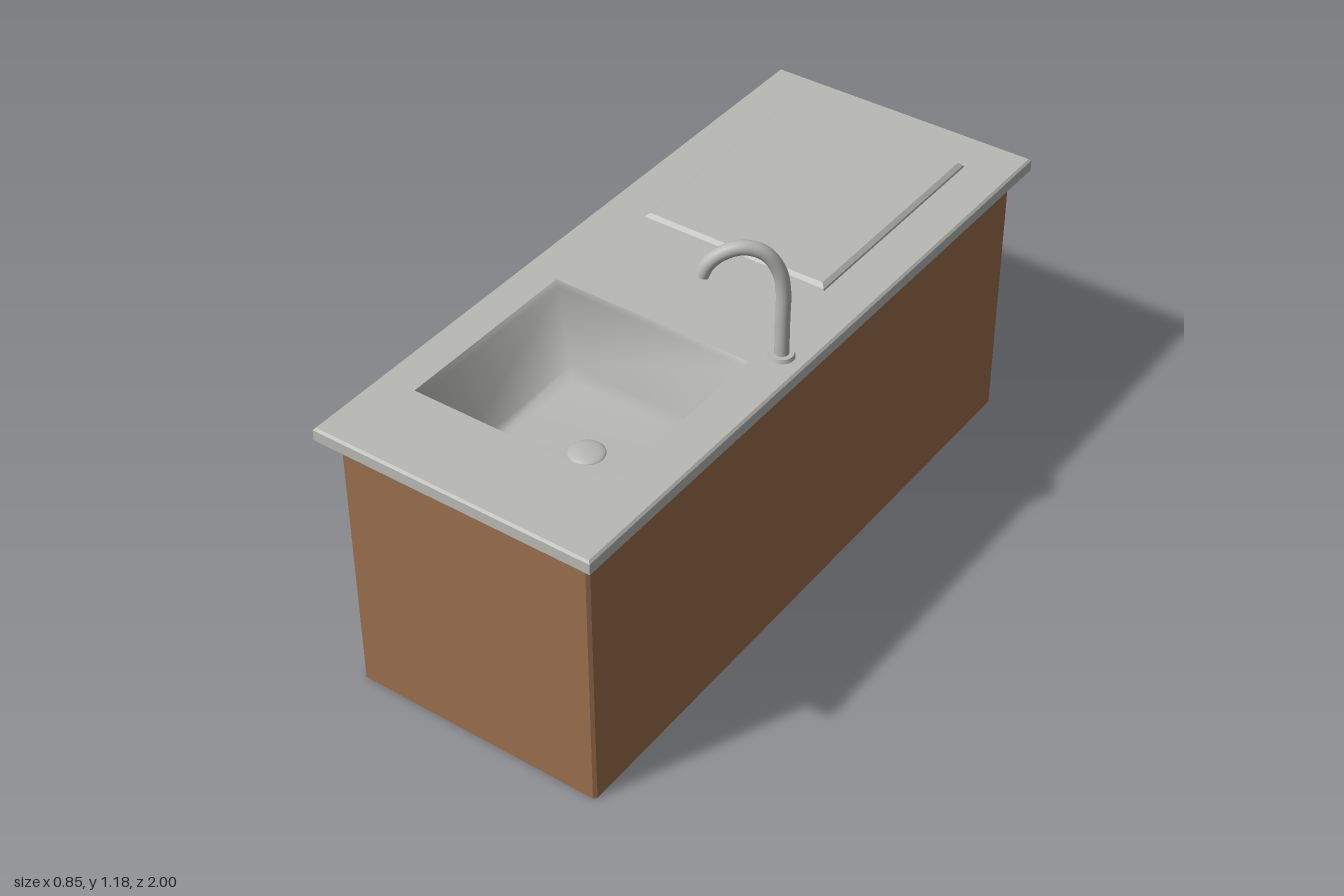
import * as THREE from 'three';

const wood = new THREE.MeshStandardMaterial({ color: 0x9a6f4c });
wood.name = 'brown wood';
const metal = new THREE.MeshStandardMaterial({ color: 0xb8b9b4 });
metal.name = 'grey steel';

function add(parent, name, geometry, material, x = 0, y = 0, z = 0) {
  const mesh = new THREE.Mesh(geometry, material);
  mesh.name = name;
  mesh.position.set(x, y, z);
  parent.add(mesh);
  return mesh;
}

// Skin through rectangular rings [x0, x1, z0, z1, y]; optional end cap on the last ring
function loft(rings, { cap = true, smooth = false } = {}) {
  const positions = [];
  const index = [];
  for (const [x0, x1, z0, z1, y] of rings) {
    positions.push(x0, y, z1, x1, y, z1, x1, y, z0, x0, y, z0);
  }
  for (let r = 0; r < rings.length - 1; r++) {
    for (let i = 0; i < 4; i++) {
      const a = r * 4 + i;
      const b = r * 4 + (i + 1) % 4;
      index.push(a, b, b + 4, a, b + 4, a + 4);
    }
  }
  if (cap) {
    const n = (rings.length - 1) * 4;
    index.push(n, n + 1, n + 2, n, n + 2, n + 3);
  }
  let geometry = new THREE.BufferGeometry();
  geometry.setAttribute('position', new THREE.Float32BufferAttribute(positions, 3));
  geometry.setIndex(index);
  if (!smooth) geometry = geometry.toNonIndexed();
  geometry.computeVertexNormals();
  return geometry;
}

// Cabinet footprint with small chamfered corners
function footprint() {
  const [x0, x1, z, c] = [-0.36, 0.383, 0.957, 0.008];
  return new THREE.Shape([
    [x0 + c, -z], [x1 - c, -z], [x1, c - z], [x1, z - c],
    [x1 - c, z], [x0 + c, z], [x0, z - c], [x0, c - z],
  ].map(([x, y]) => new THREE.Vector2(x, y)));
}

function extrudeUp(shape, depth) {
  return new THREE.ExtrudeGeometry(shape, { depth, bevelEnabled: false }).rotateX(-Math.PI / 2);
}

function buildCabinet() {
  const cabinet = new THREE.Group();
  cabinet.name = 'cabinet';
  add(cabinet, 'cabinetBase', extrudeUp(footprint(), 0.5), wood);
  // Upper carcass is open where the basin hangs
  const upper = footprint();
  upper.holes.push(new THREE.Path([
    [-0.32, -0.8], [-0.32, -0.15], [0.33, -0.15], [0.33, -0.8],
  ].map(([x, y]) => new THREE.Vector2(x, y))));
  add(cabinet, 'cabinetUpper', extrudeUp(upper, 0.276), wood, 0, 0.5, 0);

  // Bevelled doors with lens-shaped pulls
  for (const [name, z0, z1, pullZ] of [['rearDoor', -0.945, -0.055, -0.145], ['frontDoor', 0.13, 0.83, 0.21]]) {
    const door = new THREE.Group();
    door.name = name;
    // Lofted upward, then tipped so its face points to -x
    const panel = loft([
      [0.003, 0.775, z0, z1, 0.355],
      [0.018, 0.758, z0 + 0.018, z1 - 0.012, 0.4],
    ]).rotateZ(Math.PI / 2);
    add(door, name + 'Panel', panel, wood);
    const pull = add(door, name + 'Pull', new THREE.SphereGeometry(1, 16, 12), wood, -0.4, 0.465, pullZ);
    pull.scale.set(0.028, 0.077, 0.017);
    cabinet.add(door);
  }
  return cabinet;
}

function buildCounter() {
  const counter = new THREE.Group();
  counter.name = 'counter';
  const hole = [-0.295, 0.3, 0.19, 0.75];
  // Underside, rim and top in one skin, ending at the basin opening
  add(counter, 'countertop', loft([
    [-0.33, 0.35, -0.93, 0.93, 0.775],
    [-0.365, 0.385, -0.965, 0.965, 0.775],
    [-0.395, 0.418, -0.995, 0.995, 0.788],
    [-0.4, 0.422, -1, 1, 0.793],
    [-0.4, 0.422, -1, 1, 0.824],
    [-0.394, 0.416, -0.994, 0.994, 0.83],
    [...hole, 0.83],
  ], { cap: false }), metal);
  // Soft-edged basin
  add(counter, 'basin', loft([
    [...hole, 0.83],
    [-0.285, 0.29, 0.198, 0.742, 0.815],
    [-0.225, 0.245, 0.235, 0.705, 0.61],
    [-0.195, 0.215, 0.265, 0.675, 0.59],
  ], { smooth: true }), metal);
  const drain = add(counter, 'drain', new THREE.SphereGeometry(0.05, 24, 8, 0, Math.PI * 2, 0, Math.PI / 2), metal, 0.007, 0.589, 0.47);
  drain.scale.y = 0.25;
  // Raised drainboard panel
  add(counter, 'raisedPanel', loft([
    [-0.275, 0.292, -0.86, -0.16, 0.829],
    [-0.273, 0.29, -0.858, -0.162, 0.835],
    [-0.262, 0.279, -0.847, -0.173, 0.845],
  ]), metal);
  return counter;
}

function buildFaucet() {
  const faucet = new THREE.Group();
  faucet.name = 'faucet';
  const [x, z, dx, dz] = [0.353, 0.125, -0.154, 0.124];
  add(faucet, 'faucetBase', new THREE.CylinderGeometry(0.032, 0.035, 0.012, 24), metal, x, 0.835, z);
  // Gooseneck: [fraction of reach, height]
  const path = new THREE.CatmullRomCurve3([
    [0, 0.83], [0, 0.94], [0, 1.03], [0.06, 1.09], [0.24, 1.142],
    [0.5, 1.16], [0.76, 1.145], [0.93, 1.115], [1, 1.085],
  ].map(([s, y]) => new THREE.Vector3(x + dx * s, y, z + dz * s)));
  add(faucet, 'spout', new THREE.TubeGeometry(path, 40, 0.019, 16), metal);
  const tip = path.getPoint(1);
  const end = add(faucet, 'spoutEnd', new THREE.CircleGeometry(0.019, 16), metal, tip.x, tip.y, tip.z);
  end.lookAt(tip.clone().add(path.getTangent(1)));
  return faucet;
}

export function createModel() {
  const model = new THREE.Group();
  model.name = 'sinkCabinet';
  model.add(buildCabinet(), buildCounter(), buildFaucet());
  // Centre the small overhang of the door pulls
  return model;
}
